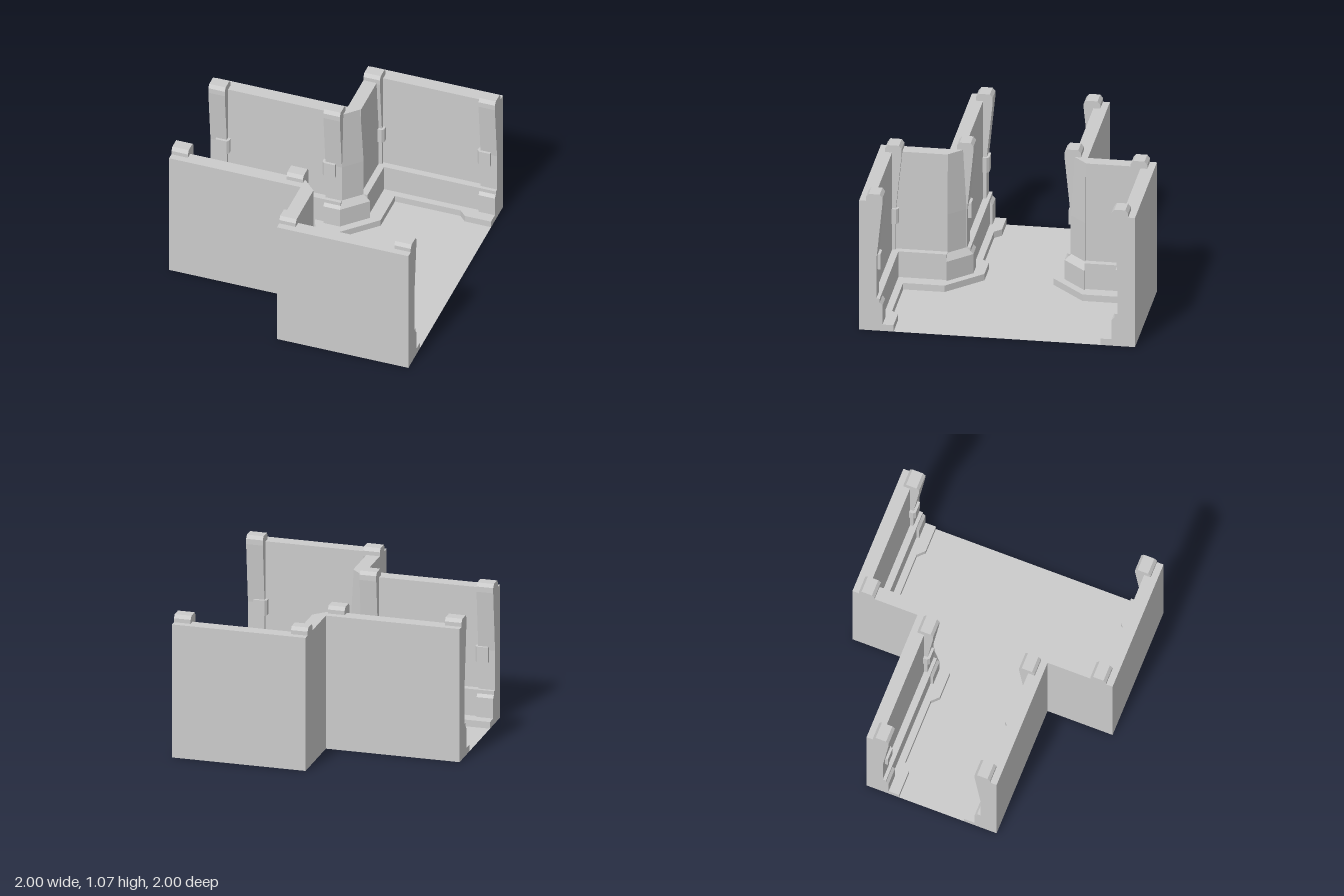
import * as THREE from 'three';

const material = new THREE.MeshStandardMaterial({ color: 0xcccccc, flatShading: true, side: THREE.DoubleSide });

const shapeOf = (pts) => new THREE.Shape(pts.map(([x, y]) => new THREE.Vector2(x, y)));
const extrude = (pts, depth) => new THREE.ExtrudeGeometry(shapeOf(pts), { depth, bevelEnabled: false });

// Section in (distance inward from the outer face, height), run along x from x0
const alongX = (section, x0, length, outer) =>
  extrude(section, length).rotateY(Math.PI / 2).translate(x0, 0, outer);

// Plan outline in (x, z), raised from y0 by height
const raised = (plan, y0, height) =>
  extrude(plan.map(([x, z]) => [x, -z]), height).rotateX(-Math.PI / 2).translate(0, y0, 0);

// Mirror across z = 0, reversing the triangles so they still face outward
function mirrorZ(geometry) {
  const g = geometry.clone().scale(1, 1, -1);
  const p = g.attributes.position;
  const a = new THREE.Vector3(), b = new THREE.Vector3();
  for (let i = 0; i < p.count; i += 3) {
    a.fromBufferAttribute(p, i + 1);
    b.fromBufferAttribute(p, i + 2);
    p.setXYZ(i + 1, b.x, b.y, b.z);
    p.setXYZ(i + 2, a.x, a.y, a.z);
  }
  g.computeVertexNormals();
  return g;
}

// Triangular column in the inner corner, its size following [height, leg] levels
function cornerColumn(levels) {
  const points = [], index = [];
  for (const [y, k] of levels) points.push(0, y, 0.5, k, y, 0.5, 0, y, 0.5 - k);
  for (let l = 0; l < levels.length - 1; l++) {
    for (let i = 0; i < 3; i++) {
      const a = l * 3 + i, b = l * 3 + (i + 1) % 3;
      index.push(a, b, b + 3, a, b + 3, a + 3);
    }
  }
  const top = (levels.length - 1) * 3;
  index.push(0, 2, 1, top, top + 1, top + 2);
  const g = new THREE.BufferGeometry();
  g.setAttribute('position', new THREE.Float32BufferAttribute(points, 3));
  g.setIndex(index);
  const flat = g.toNonIndexed();
  flat.computeVertexNormals();
  return flat;
}

const wallSection = [[0, 0], [0.15, 0], [0.15, 0.25], [0.1, 0.25], [0.1, 1.01], [0, 1.01]];
const ribSection = [
  [0.05, 0], [0.17, 0], [0.17, 0.2], [0.125, 0.25], [0.125, 0.55], [0.17, 1.0], [0.17, 1.04],
  [0.15, 1.065], [0.07, 1.065], [0.05, 1.04],
];
const ribWidth = 0.125;

export function createModel() {
  const model = new THREE.Group();
  model.name = 'corridorJunction';
  const add = (name, geometry, parent = model) => {
    const mesh = new THREE.Mesh(geometry, material);
    mesh.name = name;
    parent.add(mesh);
  };

  // T-shaped floor sheet
  const floor = shapeOf([[-1, -0.5], [0, -0.5], [0, -1], [1, -1], [1, 1], [0, 1], [0, 0.5], [-1, 0.5]]);
  add('floor', new THREE.ShapeGeometry(floor).rotateX(-Math.PI / 2));

  // Parts of the +z half
  const parts = [];
  const part = (name, geometry) => parts.push([name, geometry]);

  part('narrowWall', alongX(wallSection, -1, 1, 0.5));
  part('wideWall', alongX(wallSection, 0, 1, 1));
  part('backWall', extrude(wallSection, 0.5).translate(0, 0, 0.5));
  part('cornerColumn', cornerColumn([[0, 0.17], [0.2, 0.17], [0.25, 0.12], [0.55, 0.12], [1.01, 0.095]]));

  // Raised kerb along the foot of the walls
  part('kerb', raised([
    [-1, 0.25], [-0.8, 0.25], [-0.75, 0.3], [-0.25, 0.3], [-0.2, 0.25], [0, 0.25],
    [0.25, 0.5], [0.25, 0.8], [0.75, 0.8], [0.8, 0.75], [1, 0.75],
    [1, 0.95], [0.05, 0.95], [0.05, 0.45], [-1, 0.45],
  ], 0, 0.05));

  // Ribs at both ends of each long wall, each with a clip round its inner edge
  for (const [x0, outer] of [[-1, 0.5], [0, 1]]) {
    for (const end of [0, 1]) {
      const start = x0 + end * (1 - ribWidth);
      part('rib', alongX(ribSection, start, ribWidth, outer));
      const edge = end ? start : start + ribWidth;
      const dir = end ? -1 : 1;
      const clip = [[-0.08, 0.1], [0.02, 0.1], [0.02, 0.13], [0.005, 0.147], [-0.08, 0.147]];
      part('clip', raised(clip.map(([u, d]) => [edge + dir * u, outer - d]), 0.46, 0.115));
    }
  }

  const front = new THREE.Group(), rear = new THREE.Group();
  front.name = 'frontHalf';
  rear.name = 'rearHalf';
  for (const [name, geometry] of parts) {
    add(name, geometry, front);
    add(name, mirrorZ(geometry), rear);
  }
  model.add(front, rear);
  return model;
}
